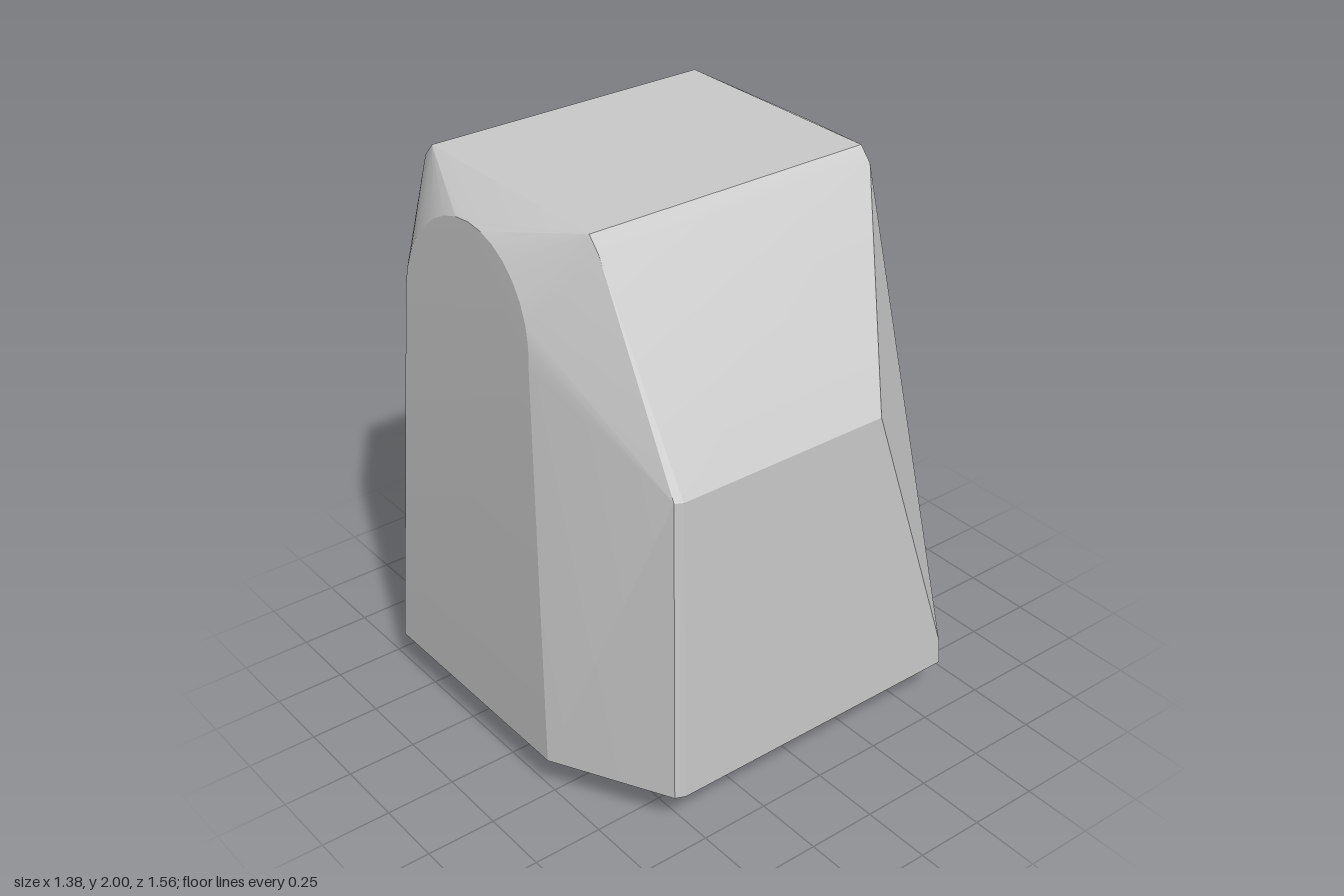
import * as THREE from 'three';
import { ConvexGeometry } from 'three/addons/geometries/ConvexGeometry.js';
import { toCreasedNormals } from 'three/addons/utils/BufferGeometryUtils.js';

export function createModel() {
  const points = [];
  const add = (x, y, z) => points.push(new THREE.Vector3(x, y, z));

  for (const s of [1, -1]) {
    // flat top with narrow chamfers along its long sides
    add(-0.615, 2, 0.54 * s);
    add(0.24, 2, 0.54 * s);
    add(-0.66, 1.95, 0.54 * s);
    add(0.285, 1.95, 0.54 * s);

    // lower edge of the front and back faces
    add(-0.64, 0.15, 0.78 * s);
    add(0.26, 0.15, 0.78 * s);

    // arched upper end of the front and back faces
    const spring = s > 0 ? 0.713 : 0.7;
    for (let i = 0; i <= 16; i++) {
      const a = (Math.PI * i) / 16;
      const rise = Math.sin(a);
      add(-0.2 + 0.35 * Math.cos(a), 1.57 + 0.35 * rise, s * (spring + (0.68 - spring) * rise));
    }

    // rounded corners of the base
    for (const [cx, dir] of [[-0.47, -1], [0.04, 1]]) {
      for (let i = 0; i <= 8; i++) {
        const a = (Math.PI / 2) * (i / 8);
        add(cx + dir * 0.22 * Math.cos(a), 0, s * (0.35 + 0.22 * Math.sin(a)));
      }
    }
  }

  // bulging side: upright panel, cut back towards the rear
  add(0.685, 1.29, 0.54);
  add(0.67, 1.29, 0.565);
  add(0.685, 1.29, -0.26);
  add(0.685, 0.15, 0.53);
  add(0.67, 0.15, 0.565);
  add(0.685, 0.25, -0.61);
  add(0.685, 0.15, -0.62);

  const geometry = toCreasedNormals(new ConvexGeometry(points), 0.2);
  const body = new THREE.Mesh(geometry, new THREE.MeshStandardMaterial({ color: 0xcccccc }));
  body.name = 'facetedBody';

  const group = new THREE.Group();
  group.name = 'facetedBlock';
  group.add(body);
  return group;
}
